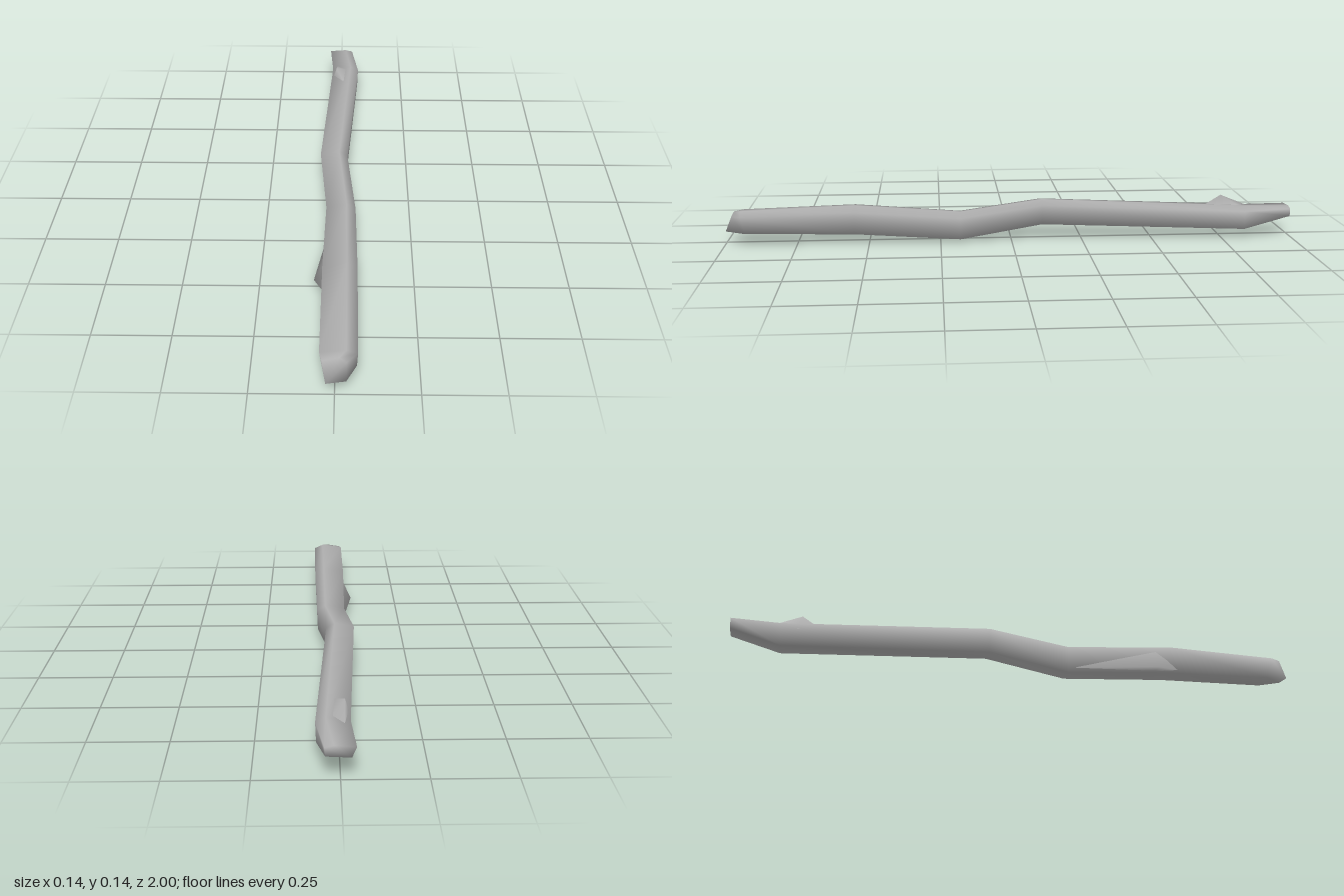
import * as THREE from 'three';

// Unit cross-section, counter-clockwise seen from the front (+z)
const SECTION = [[-0.7, -1], [0.95, -0.8], [1, 0.65], [0.4, 1], [-1, 0.75]];

// Smooth indexed mesh from points and triangle indices
function smoothMesh(name, points, index, material) {
  const geo = new THREE.BufferGeometry();
  geo.setAttribute('position', new THREE.Float32BufferAttribute(points.flat(), 3));
  geo.setIndex(index);
  geo.computeVertexNormals();
  const mesh = new THREE.Mesh(geo, material);
  mesh.name = name;
  return mesh;
}

// Shaft lofted through rows of [z, xMin, xMax, yMin, yMax, slant]
function loft(name, rows, material) {
  const n = SECTION.length, points = [], index = [];
  for (const [z, x0, x1, y0, y1, slant = 0] of rows) {
    for (const [u, v] of SECTION) {
      points.push([(x0 + x1) / 2 + u * (x1 - x0) / 2, (y0 + y1) / 2 + v * (y1 - y0) / 2, z - slant * v]);
    }
  }
  for (let i = 0; i < rows.length - 1; i++) {
    for (let j = 0; j < n; j++) {
      const a = i * n + j, b = i * n + (j + 1) % n;
      index.push(a, b, b + n, a, b + n, a + n);
    }
  }
  const last = (rows.length - 1) * n;
  for (let j = 1; j < n - 1; j++) {
    index.push(0, j + 1, j); // back end
    index.push(last, last + j, last + j + 1); // front end
  }
  return smoothMesh(name, points, index, material);
}

// Broken twig stub: a pointed spur rising from a base ring sunk into the shaft
function spur(name, apex, base, material) {
  const index = [];
  base.forEach((_, j) => index.push(0, j + 1, (j + 1) % base.length + 1));
  return smoothMesh(name, [apex, ...base], index, material);
}

export function createModel() {
  const group = new THREE.Group();
  group.name = 'stick';
  const wood = new THREE.MeshStandardMaterial({ color: 0xb0b0b0, side: THREE.DoubleSide });
  wood.name = 'grey wood';

  group.add(loft('shaft', [
    [-1, -0.045, 0.045, 0.068, 0.105],
    [-0.83, -0.033, 0.07, 0.024, 0.112],
    [-0.11, -0.066, 0.03, 0.043, 0.138],
    [0.18, -0.04, 0.06, 0, 0.104],
    [0.55, -0.045, 0.066, 0.026, 0.133],
    [0.935, -0.045, 0.067, 0.036, 0.118, -0.01],
    [0.985, -0.037, 0.035, 0.04, 0.112, 0.015],
  ], wood));

  group.add(spur('sideStub', [-0.074, 0.025, 0.5],
    [[-0.035, 0.112, 0.5], [-0.028, 0.018, 0.2], [-0.02, 0.03, 0.5], [-0.038, 0.035, 0.58]], wood));

  group.add(spur('topStub', [-0.018, 0.14, -0.76],
    [[0.02, 0.105, -0.68], [0.03, 0.1, -0.83], [-0.015, 0.1, -0.86], [-0.034, 0.085, -0.77]], wood));

  return group;
}
